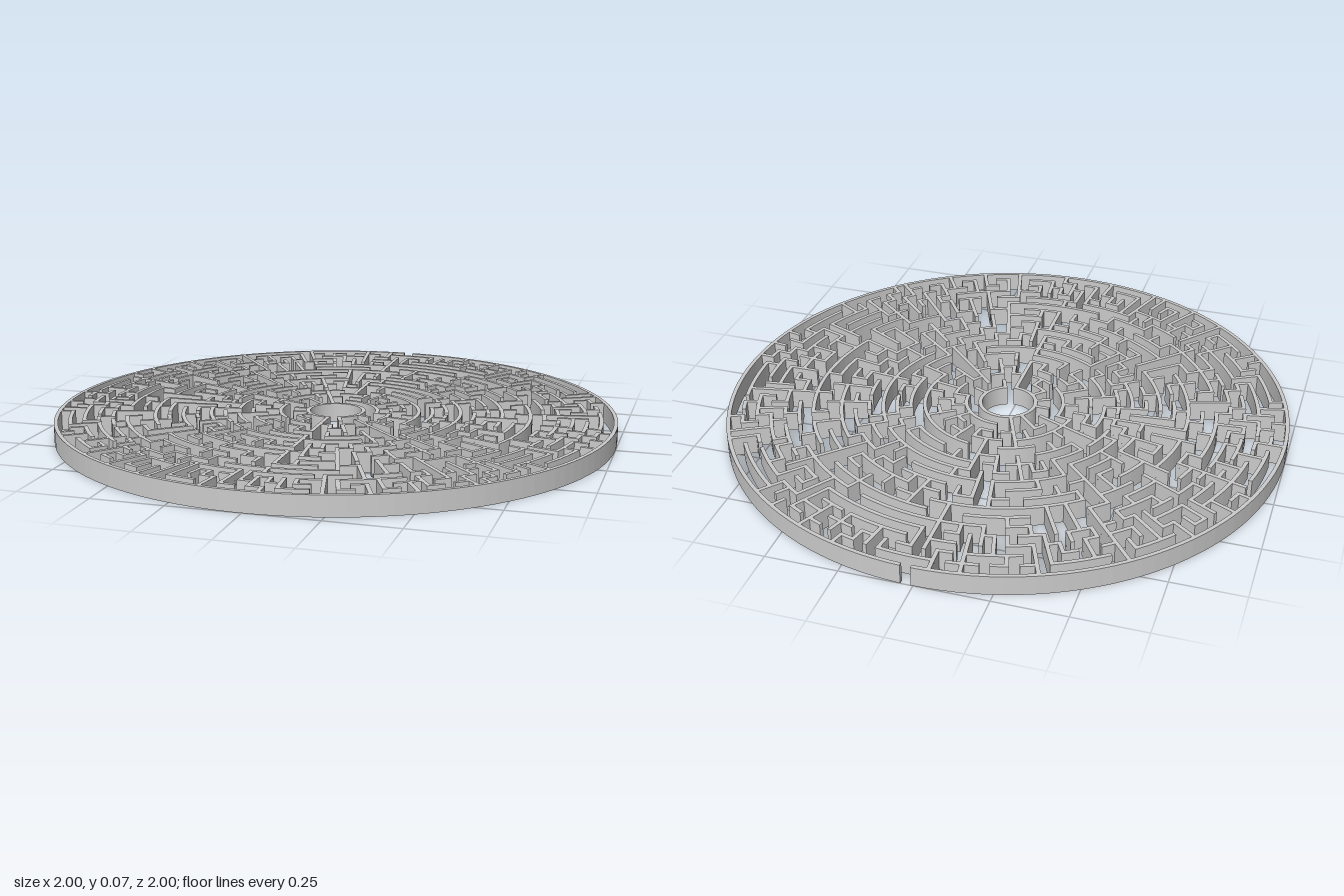
import * as THREE from 'three';
import { mergeGeometries } from 'three/addons/utils/BufferGeometryUtils.js';

const HEIGHT = 0.07, WALL = 0.014;
const FIRST = 2, LAST = 20;                 // innermost and outermost ring
const STEP = (1 - WALL / 2) / LAST;         // corridor pitch
const TAU = Math.PI * 2;

// Cells around a row: doubles each time the radius doubles
const cellCount = k => 8 * 2 ** Math.floor(Math.log2(k));
const key = (k, i) => k + ',' + i;

// Long radial walls kept solid: angle in degrees (clockwise from +x seen from above), ring from, ring to
const SPOKES = [
  [270, 13, 17], [270, 7, 9], [90, 2, 5], [90, 8, 10], [180, 18, 20], [45, 3, 8],
  [202.5, 3, 8], [196.875, 14, 19], [348.75, 14, 17], [225, 9, 12],
  [295.3125, 17, 20], [205.3125, 18, 20], [140.625, 11, 14], [73.125, 13, 15],
];
// Long arcs kept solid: ring, angle from, angle to
const ARCS = [
  [8, 60, 120], [9, 275, 310], [16, 272, 300], [13, 150, 180], [14, -20, 25],
  [15, 78, 105], [11, 90, 130], [5, 200, 250], [6, 290, 340], [12, 320, 350],
];

function seeded(seed) {
  return () => {
    seed = (seed + 0x6d2b79f5) | 0;
    let t = Math.imul(seed ^ (seed >>> 15), 1 | seed);
    t = (t + Math.imul(t ^ (t >>> 7), 61 | t)) ^ t;
    return ((t ^ (t >>> 14)) >>> 0) / 4294967296;
  };
}

// Carve a spanning tree of corridors; returns the sets of opened walls
function carveMaze() {
  const rand = seeded(11);
  const solid = new Set();
  for (const [deg, from, to] of SPOKES) {
    for (let k = from; k < to; k++) {
      const i = deg / 360 * cellCount(k);
      if (Number.isInteger(i)) solid.add('r' + key(k, i));
    }
  }
  for (const [k, from, to] of ARCS) {
    const n = cellCount(k);
    for (let i = Math.ceil(from / 360 * n); i < Math.floor(to / 360 * n); i++) solid.add('a' + key(k, (i + n) % n));
  }

  const open = new Set();
  const neighbours = (k, i) => {
    const n = cellCount(k), list = [];
    list.push([k, (i + 1) % n, 'r' + key(k, (i + 1) % n)]);
    list.push([k, (i + n - 1) % n, 'r' + key(k, i)]);
    if (k > FIRST) list.push([k - 1, Math.floor(i * cellCount(k - 1) / n), 'a' + key(k, i)]);
    if (k < LAST - 1) {
      const ratio = cellCount(k + 1) / n;
      for (let j = 0; j < ratio; j++) list.push([k + 1, i * ratio + j, 'a' + key(k + 1, i * ratio + j)]);
    }
    return list;
  };

  const seen = new Set([key(FIRST, 3)]);
  const active = [[FIRST, 3]];
  while (active.length) {
    const pick = rand() < 0.85 ? active.length - 1 : Math.floor(rand() * active.length);
    const options = neighbours(...active[pick]).filter(([k, i, w]) => !seen.has(key(k, i)) && !solid.has(w));
    if (!options.length) { active.splice(pick, 1); continue; }
    const [k, i, wall] = options[Math.floor(rand() * options.length)];
    open.add(wall);
    seen.add(key(k, i));
    active.push([k, i]);
  }
  // Way into the centre and the entrance at the back
  open.add('a' + key(FIRST, 3));
  open.add('a' + key(LAST, cellCount(LAST) * 0.75));
  return open;
}

// Curved wall between two angles
function arcWall(radius, a0, a1) {
  const pad = WALL / 2 / radius;
  a0 -= pad; a1 += pad;
  const segments = Math.max(2, Math.ceil((a1 - a0) / (TAU / 128)));
  const points = [];
  const side = (r, t) => {
    const a = a0 + (a1 - a0) * t;
    points.push(new THREE.Vector2(r * Math.cos(a), r * Math.sin(a)));
  };
  for (let s = 0; s <= segments; s++) side(radius + WALL / 2, s / segments);
  for (let s = segments; s >= 0; s--) side(radius - WALL / 2, s / segments);
  const geometry = new THREE.ExtrudeGeometry(new THREE.Shape(points), { depth: HEIGHT, bevelEnabled: false });
  return geometry.rotateX(Math.PI / 2).translate(0, HEIGHT, 0);
}

// Straight wall along a radius
function radialWall(angle, r0, r1) {
  return new THREE.BoxGeometry(r1 - r0 + WALL * 0.8, HEIGHT, WALL)
    .translate((r0 + r1) / 2, HEIGHT / 2, 0)
    .rotateY(-angle);
}

export function createModel() {
  const group = new THREE.Group();
  group.name = 'circularMaze';
  const material = new THREE.MeshStandardMaterial({ color: 0xcccccc, flatShading: true });
  const open = carveMaze();
  const add = (name, geometries) => {
    const mesh = new THREE.Mesh(mergeGeometries(geometries), material);
    mesh.name = name;
    group.add(mesh);
  };

  // Ring walls, each run of closed cells as one curved piece
  for (let k = FIRST; k <= LAST; k++) {
    const n = cellCount(k), walls = [];
    let start = 0;
    while (start < n && !open.has('a' + key(k, start))) start++;
    for (let s = 1; s <= n; s++) {
      let length = 0;
      while (s + length < n && !open.has('a' + key(k, (start + s + length) % n))) length++;
      if (length) walls.push(arcWall(k * STEP, (start + s) / n * TAU, (start + s + length) / n * TAU));
      s += length;
    }
    if (walls.length) add(k === LAST ? 'outerWall' : k === FIRST ? 'centreWall' : 'ringWall' + (k - FIRST), walls);
  }

  // Radial walls, joined where they continue across rings
  const finest = cellCount(LAST), radials = [];
  for (let j = 0; j < finest; j++) {
    const closed = k => {
      const i = j * cellCount(k) / finest;
      return k < LAST && Number.isInteger(i) && !open.has('r' + key(k, i));
    };
    for (let k = FIRST; k < LAST; k++) {
      if (!closed(k)) continue;
      const from = k;
      while (closed(k)) k++;
      radials.push(radialWall(j / finest * TAU, from * STEP, k * STEP));
    }
  }
  add('radialWalls', radials);
  return group;
}
